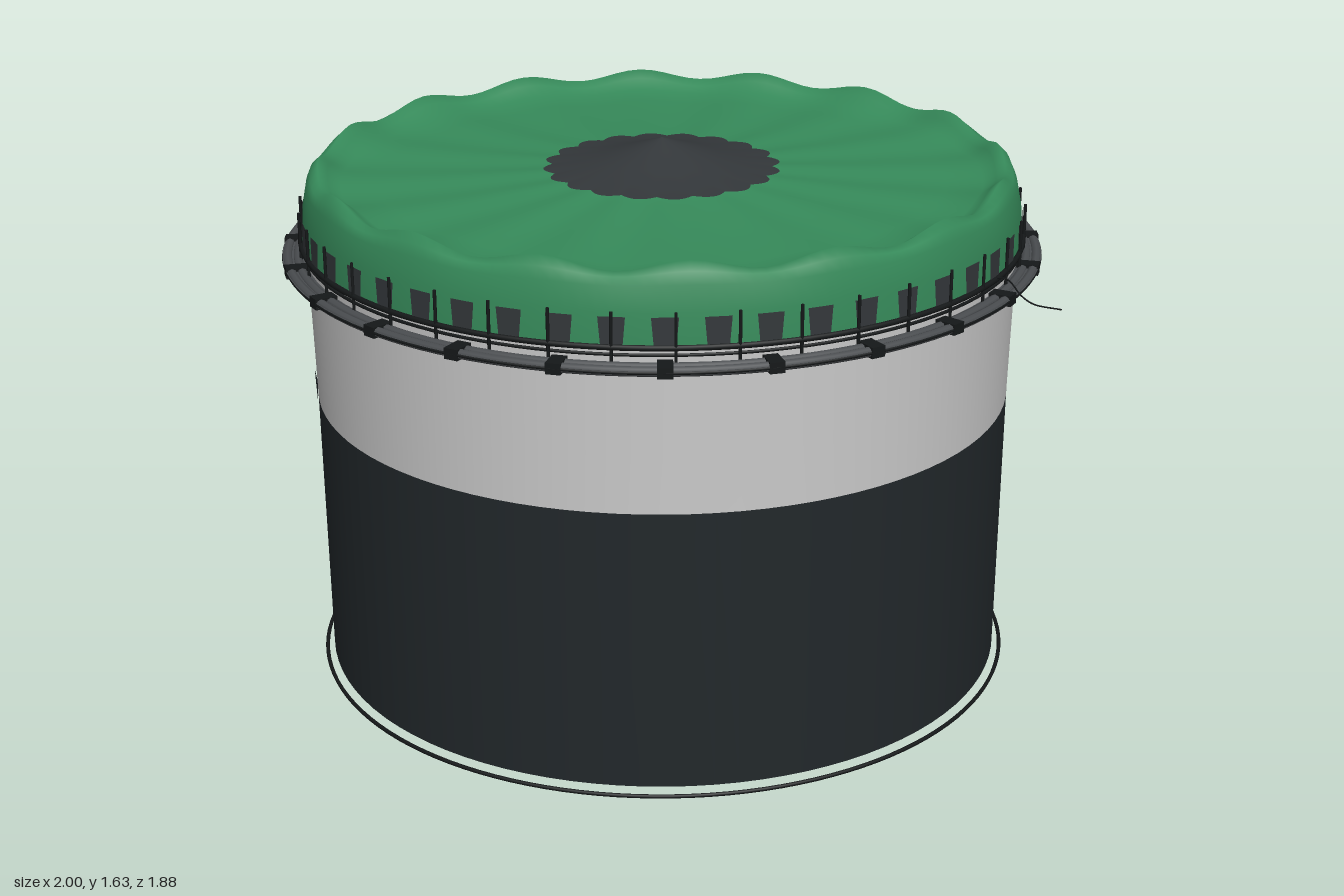
import * as THREE from 'three';

const TAU = Math.PI * 2;
const CX = -0.06; // axis of the pen; the mooring line reaches out to +x

const mat = (color) => new THREE.MeshStandardMaterial({ color, side: THREE.DoubleSide });
const GREEN = mat(0x368a5a), DARK = mat(0x33373a), NET = mat(0x22282b), BLACK = mat(0x151819);
const PALE = mat(0xcccccc), PIPE = mat(0x4a4d50);

// Surface around the axis; fn(row, angle) gives [radius, y], rows run from the top/centre outward and down
function polar(fn, rows, segs) {
  const pos = [], idx = [];
  for (let i = 0; i <= rows; i++)
    for (let j = 0; j < segs; j++) {
      const a = (j / segs) * TAU, [r, y] = fn(i, a);
      pos.push(r * Math.cos(a), y, r * Math.sin(a));
    }
  for (let i = 0; i < rows; i++)
    for (let j = 0; j < segs; j++) {
      const k = (j + 1) % segs, a = i * segs + j, b = i * segs + k, c = a + segs, d = b + segs;
      idx.push(a, b, c, b, d, c);
    }
  const g = new THREE.BufferGeometry();
  g.setAttribute('position', new THREE.Float32BufferAttribute(pos, 3));
  g.setIndex(idx);
  g.computeVertexNormals();
  return g;
}

// Curved panel lying on the wall: bottom and top half-angles may differ
function panel(r0, r1, y0, y1, half0, half1) {
  const at = (r, y, a) => [r * Math.sin(a), y, r * Math.cos(a)];
  const g = new THREE.BufferGeometry();
  g.setAttribute('position', new THREE.Float32BufferAttribute([
    ...at(r0, y0, -half0), ...at(r0, y0, half0), ...at(r1, y1, half1), ...at(r1, y1, -half1)], 3));
  g.setIndex([0, 1, 2, 0, 2, 3]);
  g.computeVertexNormals();
  return g;
}

export function createModel() {
  const model = new THREE.Group();
  const pen = new THREE.Group();
  pen.name = 'pen';
  pen.position.x = CX;
  model.add(pen);

  const add = (name, geo, material, parent = pen) => {
    const m = new THREE.Mesh(geo, material);
    m.name = name;
    parent.add(m);
    return m;
  };
  const ring = (name, r, y, t, material) => {
    const m = add(name, new THREE.TorusGeometry(r, t, 8, 128), material);
    m.rotation.x = Math.PI / 2;
    m.position.y = y;
  };
  const around = (name, n, geo, material, offset = 0) => {
    const grp = new THREE.Group();
    grp.name = name + 's';
    for (let i = 0; i < n; i++)
      add(name, geo, material, grp).rotation.y = ((i + offset) / n) * TAU;
    pen.add(grp);
  };
  const lathe = (pts) => new THREE.LatheGeometry(pts.map((p) => new THREE.Vector2(...p)), 96);

  // Net: pale upper band, dark lower wall, shallow cone
  add('upperNet', lathe([[0.873, 1.0], [0.876, 1.15], [0.882, 1.41]]), PALE);
  add('lowerNet', lathe([[0.87, 0.3], [0.873, 1.0]]), NET);
  add('netCone', lathe([[0.002, 0.025], [0.51, 0.18], [0.7, 0.245], [0.87, 0.3]]), NET);

  // Frayed teeth on one stretch of the dark net's edge
  const teeth = new THREE.Group();
  teeth.name = 'frayedEdge';
  const tooth = panel(0.876, 0.879, 0.995, 1.05, 0.06, 0.004);
  for (let i = 0; i < 6; i++)
    add('frayedTooth', tooth, NET, teeth).rotation.y = Math.PI / 2 - ((144 + i * 7.5) * Math.PI) / 180;
  pen.add(teeth);

  // Cover: low peak in the middle, sagging, with a scalloped crest at the rim; third value is wave depth
  const profile = [[0, 1.62, 0], [0.06, 1.6, 0], [0.14, 1.573, 0], [0.22, 1.555, 0.003], [0.3, 1.545, 0.004],
    [0.5, 1.537, 0.006], [0.7, 1.535, 0.008], [0.79, 1.542, 0.012], [0.82, 1.567, 0.022], [0.843, 1.586, 0.026],
    [0.862, 1.567, 0.014], [0.873, 1.54, 0.004], [0.885, 1.48, 0], [0.889, 1.4, 0]];
  const wave = (a) => (1 + Math.cos(16 * a)) / 2;
  add('cover', polar((i, a) => {
    const [r, y, w] = profile[i];
    return [r, y - w * wave(a)];
  }, profile.length - 1, 160), GREEN);

  // Scalloped patch at the peak
  add('centrePatch', polar((i, a) => {
    const s = i === 4 ? 0.272 + 0.022 * Math.abs(Math.cos(10 * a)) : profile[i][0];
    const y = i === 4 ? 1.548 : profile[i][1];
    return [s, y + 0.006];
  }, 4, 160), DARK);

  // Dark tabs around the skirt of the cover
  around('skirtTab', 48, panel(0.892, 0.89, 1.4, 1.472, 0.027, 0.034), DARK);

  // Handrail and stanchions
  ring('handrail', 0.893, 1.403, 0.007, BLACK);
  ring('netRope', 0.888, 1.385, 0.004, BLACK);
  const post = new THREE.CylinderGeometry(0.004, 0.004, 0.13, 6);
  post.translate(0, 1.42, 0.895);
  around('stanchion', 40, post, BLACK, 0.5);

  // Floating collar: two pipes, a deck between them and brackets
  ring('innerFloatPipe', 0.902, 1.362, 0.012, PIPE);
  ring('outerFloatPipe', 0.927, 1.362, 0.012, PIPE);
  ring('collarEdgeRope', 0.937, 1.362, 0.004, BLACK);
  add('collarDeck', lathe([[0.94, 1.366], [0.885, 1.366]]), PIPE);
  const bracket = new THREE.BoxGeometry(0.035, 0.026, 0.055);
  bracket.translate(0, 1.362, 0.913);
  around('collarBracket', 24, bracket, BLACK);

  // Sinker ring and bottom weight
  ring('sinkerRing', 0.889, 0.285, 0.005, BLACK);
  add('bottomWeight', new THREE.CylinderGeometry(0.012, 0.012, 0.03, 10), BLACK).position.y = 0.015;

  // Ropes
  const rope = (name, pts) => add(name, new THREE.TubeGeometry(
    new THREE.CatmullRomCurve3(pts.map((p) => new THREE.Vector3(...p))), 32, 0.002, 5), BLACK, model);
  rope('mooringLine', [[0.83, 1.408, 0], [0.865, 1.408, 0], [0.9, 1.375, 0], [0.93, 1.36, 0], [1, 1.358, 0]]);
  rope('bottomRope', [[-0.36, 0.11, 0.07], [-0.28, 0.055, 0.06], [-0.2, 0.018, 0.055], [-0.13, 0.022, 0.03], [CX, 0.03, 0]]);

  return model;
}
